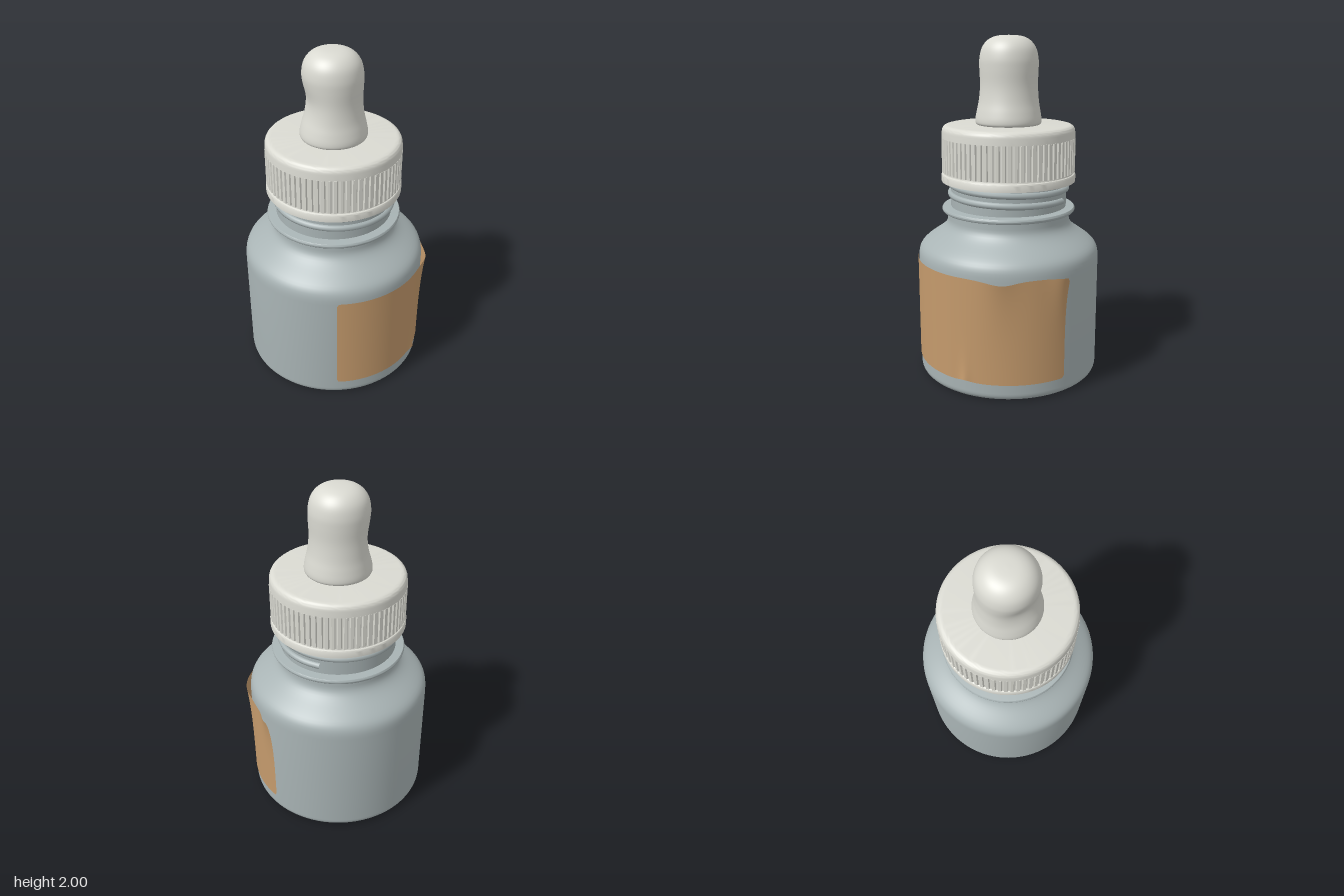
import * as THREE from 'three';
import { mergeVertices, toCreasedNormals } from 'three/addons/utils/BufferGeometryUtils.js';

const AXIS_X = -0.01; // bottle axis, the lifted label widens the +x side

const glass = new THREE.MeshStandardMaterial({ color: 0xa9b4b5 });
const plastic = new THREE.MeshStandardMaterial({ color: 0xdadad2 });
const paper = new THREE.MeshStandardMaterial({ color: 0xc49a6c, side: THREE.DoubleSide });

function part(name, geometry, material) {
  const mesh = new THREE.Mesh(geometry, material);
  mesh.name = name;
  return mesh;
}

// Revolve a path of lines and curves, keeping hard edges sharp
function revolve(path, segments = 96) {
  return toCreasedNormals(new THREE.LatheGeometry(path.getPoints(8), segments), 0.6);
}

const bump = (t, centre, width) => Math.exp(-(((t - centre) / width) ** 2));

function bottleGeometry() {
  const p = new THREE.Path();
  p.moveTo(0, 0);
  p.lineTo(0.495, 0);
  p.quadraticCurveTo(0.54, 0, 0.54, 0.045);
  p.lineTo(0.54, 0.7);
  p.bezierCurveTo(0.54, 0.775, 0.525, 0.79, 0.46, 0.835); // shoulder
  p.bezierCurveTo(0.4, 0.875, 0.362, 0.9, 0.362, 0.945);
  p.lineTo(0.362, 0.985);
  p.lineTo(0.39, 0.985); // neck flange
  p.quadraticCurveTo(0.402, 0.998, 0.39, 1.011);
  p.lineTo(0.343, 1.015);
  p.lineTo(0.343, 1.42);
  p.lineTo(0, 1.42);
  return revolve(p);
}

// Helical screw thread around the neck
function threadGeometry() {
  const turns = 4.5, start = -Math.PI / 2, points = [];
  for (let i = 0; i <= turns * 24; i++) {
    const a = start + (i / 24) * Math.PI * 2;
    points.push(new THREE.Vector3(0.343 * Math.cos(a), 1.08 + 0.06 * a / (Math.PI * 2), 0.343 * Math.sin(a)));
  }
  return new THREE.TubeGeometry(new THREE.CatmullRomCurve3(points), 324, 0.019, 8);
}

// Hollow cap, open underneath
function capGeometry() {
  const p = new THREE.Path();
  p.moveTo(0, 1.44);
  p.lineTo(0.368, 1.44);
  p.lineTo(0.368, 1.165);
  p.lineTo(0.396, 1.165);
  p.lineTo(0.396, 1.2);
  p.quadraticCurveTo(0.396, 1.21, 0.386, 1.212);
  p.lineTo(0.383, 1.22);
  p.lineTo(0.383, 1.42);
  p.lineTo(0.392, 1.42);
  p.lineTo(0.39, 1.455);
  p.quadraticCurveTo(0.388, 1.493, 0.35, 1.493);
  p.lineTo(0, 1.493);
  return revolve(p);
}

// Ring of fine grip ribs
function ribGeometry() {
  const count = 72, step = (Math.PI * 2) / count, shape = new THREE.Shape();
  for (let i = 0; i < count; i++) {
    [[0, 0.384], [0.22, 0.384], [0.36, 0.393], [0.86, 0.393]].forEach(([t, r], k) => {
      const a = (i + t) * step;
      shape[i + k ? 'lineTo' : 'moveTo'](r * Math.cos(a), r * Math.sin(a));
    });
  }
  shape.closePath();
  shape.holes.push(new THREE.Path().absarc(0, 0, 0.375, 0, Math.PI * 2, true));
  const geometry = new THREE.ExtrudeGeometry(shape, { depth: 0.2, bevelEnabled: false, curveSegments: 48 });
  return geometry.rotateX(-Math.PI / 2).translate(0, 1.22, 0);
}

// Soft rubber bulb, squeezed in on one side
function bulbGeometry() {
  const profile = [
    [0.172, 1.488], [0.19, 1.5], [0.193, 1.525], [0.186, 1.57], [0.175, 1.63], [0.168, 1.72], [0.171, 1.81],
    [0.17, 1.87], [0.155, 1.93], [0.12, 1.973], [0.07, 1.995], [0, 2.0],
  ].map(([r, y]) => new THREE.Vector2(r, y));
  let g = new THREE.LatheGeometry(new THREE.SplineCurve(profile).getPoints(48), 64);
  const pos = g.attributes.position, v = new THREE.Vector3();
  for (let i = 0; i < pos.count; i++) {
    v.fromBufferAttribute(pos, i);
    const r = Math.hypot(v.x, v.z) || 1;
    const facing = Math.max(0, (v.z - v.x) / (r * Math.SQRT2));
    const scale = 1 - 0.17 * facing ** 3 * bump(v.y, 1.7, 0.11);
    const lean = THREE.MathUtils.smoothstep(v.y, 1.52, 1.7);
    pos.setXYZ(i, v.x * scale - 0.006 * lean, Math.min(v.y, 2), v.z * scale);
  }
  g.deleteAttribute('uv');
  g.deleteAttribute('normal');
  g = mergeVertices(g, 1e-5);
  g.computeVertexNormals();
  return g;
}

// Wrapped paper label with a peeling corner, a blister and a small crease
function labelGeometry() {
  const g = new THREE.PlaneGeometry(1, 1, 120, 30);
  const pos = g.attributes.position, length = 2.165 * 0.545, corner = 0.02;
  for (let i = 0; i < pos.count; i++) {
    const u = pos.getX(i) + 0.5, v = pos.getY(i) + 0.5;
    const a = THREE.MathUtils.lerp(1.075, -1.09, u);
    const d = Math.max(0, corner - Math.min(u, 1 - u) * length);
    const inset = corner - Math.sqrt(corner ** 2 - d ** 2);
    let y = THREE.MathUtils.lerp(0.1 + inset, 0.71 - inset, v);
    y += 0.014 * bump(a, 0, 0.07) * (1 - v) ** 6 - 0.018 * bump(a, -0.42, 0.16) * v ** 6;
    const r = 0.545
      + 0.024 * bump(a, -0.34, 0.2) * v ** 3
      + 0.036 * bump(a, -1.06, 0.13) * v ** 4
      + 0.016 * bump(a, 0, 0.06) * (1 - v) ** 6;
    pos.setXYZ(i, r * Math.cos(a), y, r * Math.sin(a));
  }
  g.computeVertexNormals();
  return g;
}

export function createModel() {
  const model = new THREE.Group();
  model.name = 'dropperBottle';

  const bottle = new THREE.Group();
  bottle.name = 'bottle';
  bottle.add(part('bottleBody', bottleGeometry(), glass), part('neckThread', threadGeometry(), glass));

  const dropper = new THREE.Group();
  dropper.name = 'dropper';
  dropper.add(
    part('cap', capGeometry(), plastic),
    part('capRibs', ribGeometry(), plastic),
    part('rubberBulb', bulbGeometry(), plastic),
  );

  model.add(bottle, dropper, part('label', labelGeometry(), paper));
  model.children.forEach((child) => { child.position.x = AXIS_X; });
  return model;
}
